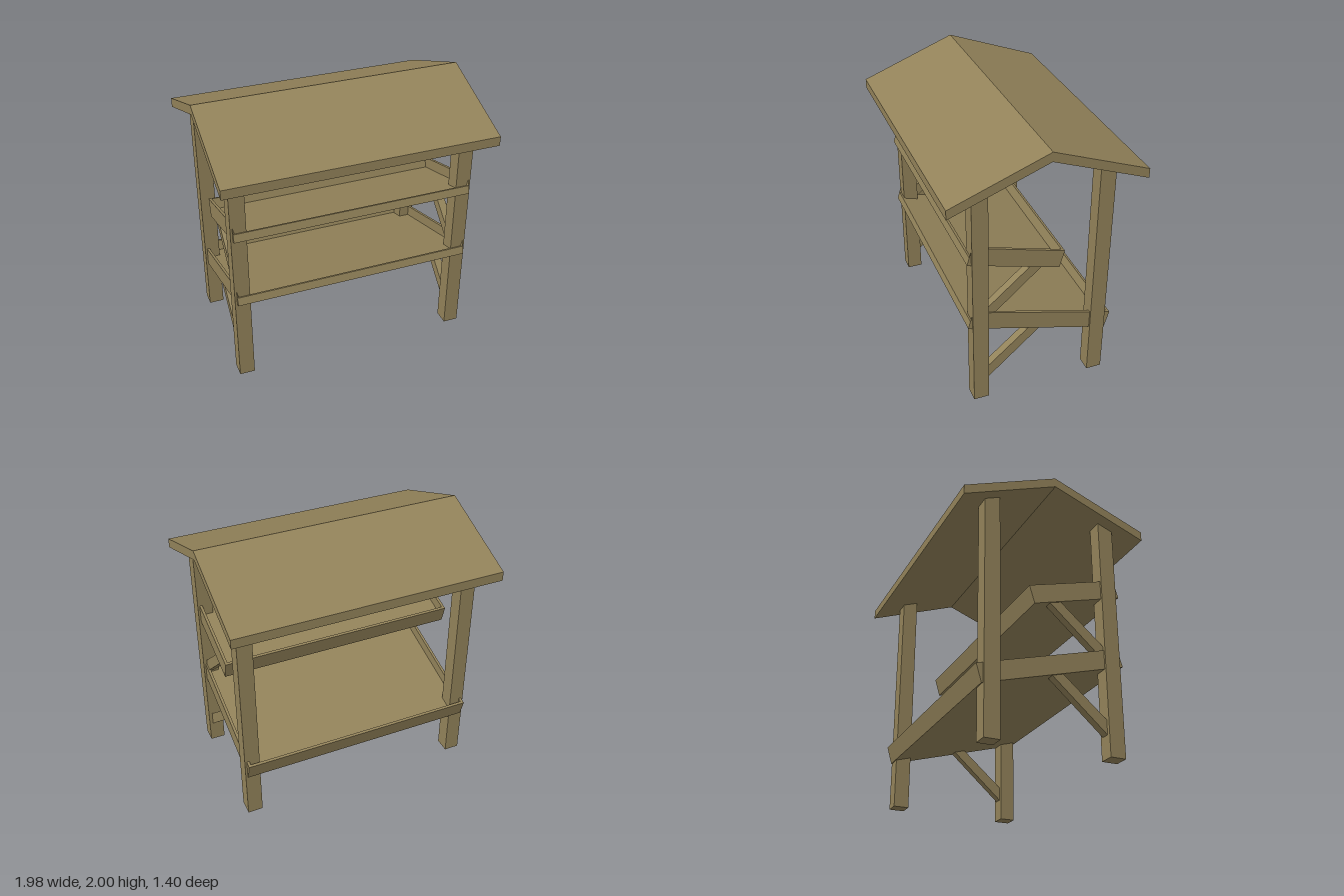
import * as THREE from 'three';

const wood = new THREE.MeshStandardMaterial({ color: 0x93835a });
wood.name = 'wood';

function part(name, geometry, parent) {
  const mesh = new THREE.Mesh(geometry, wood);
  mesh.name = name;
  parent.add(mesh);
  return mesh;
}

const toShape = (pts) => new THREE.Shape(pts.map(([a, b]) => new THREE.Vector2(a, b)));

// Side profile given as [z, y], extruded across x and centred on x = 0
function sideProfile(pts, width) {
  return new THREE.ExtrudeGeometry(toShape(pts), { depth: width, bevelEnabled: false })
    .rotateY(-Math.PI / 2)
    .translate(width / 2, 0, 0);
}

// Plan outline given as [x, distance back], extruded upwards
function planBoard(pts, height) {
  return new THREE.ExtrudeGeometry(toShape(pts), { depth: height, bevelEnabled: false })
    .rotateX(-Math.PI / 2);
}

// Open tray with mitred rim boards, sloping down towards the back
function makeTray(name, length, frontY) {
  const tray = new THREE.Group();
  tray.name = name;
  const w = 0.885, t = 0.02, rim = 0.135;
  part('trayFloor', new THREE.BoxGeometry(2 * (w - t), 0.055, length - 2 * t)
    .translate(0, 0.0275, -length / 2), tray);
  part('trayFrontLip', planBoard([[-w, 0], [w, 0], [w - t, t], [t - w, t]], 0.06), tray);
  part('trayBackBoard', planBoard(
    [[-w, length], [w, length], [w - t, length - t], [t - w, length - t]], rim), tray);
  for (const s of [-1, 1]) {
    part(s > 0 ? 'traySideLeft' : 'traySideRight', planBoard(
      [[s * w, 0], [s * w, length], [s * (w - t), length - t], [s * (w - t), t]], rim), tray);
  }
  tray.position.set(0, frontY, 0.535);
  tray.rotation.x = -THREE.MathUtils.degToRad(16.1);
  return tray;
}

export function createModel() {
  const stall = new THREE.Group();
  stall.name = 'marketStall';

  // Gable roof
  part('roof', sideProfile(
    [[0.698, 1.665], [0.698, 1.735], [0, 2], [-0.698, 1.735], [-0.698, 1.665], [0, 1.93]],
    1.98), stall);

  // Four corner posts reaching into the roof
  for (const sx of [-1, 1]) {
    for (const sz of [-1, 1]) {
      const post = part(sz > 0 ? 'frontPost' : 'backPost',
        new THREE.BoxGeometry(0.112, 1.79, 0.114), stall);
      post.position.set(sx * 0.844, 0.895, sz * 0.448);
    }
  }

  // Deep lower tray and shallow upper tray
  stall.add(makeTray('lowerTray', 1.093, 0.667));
  stall.add(makeTray('upperTray', 0.692, 1.205));

  // Diagonal braces from the front posts to the tray undersides
  for (const y of [0, 0.537]) {
    for (const sx of [-1, 1]) {
      const brace = part('brace', sideProfile(
        [[0.4, 0.151], [0.4, 0.256], [0.06, 0.55], [-0.012, 0.517]], 0.06), stall);
      brace.position.set(sx * 0.844, y, 0);
    }
  }
  return stall;
}
